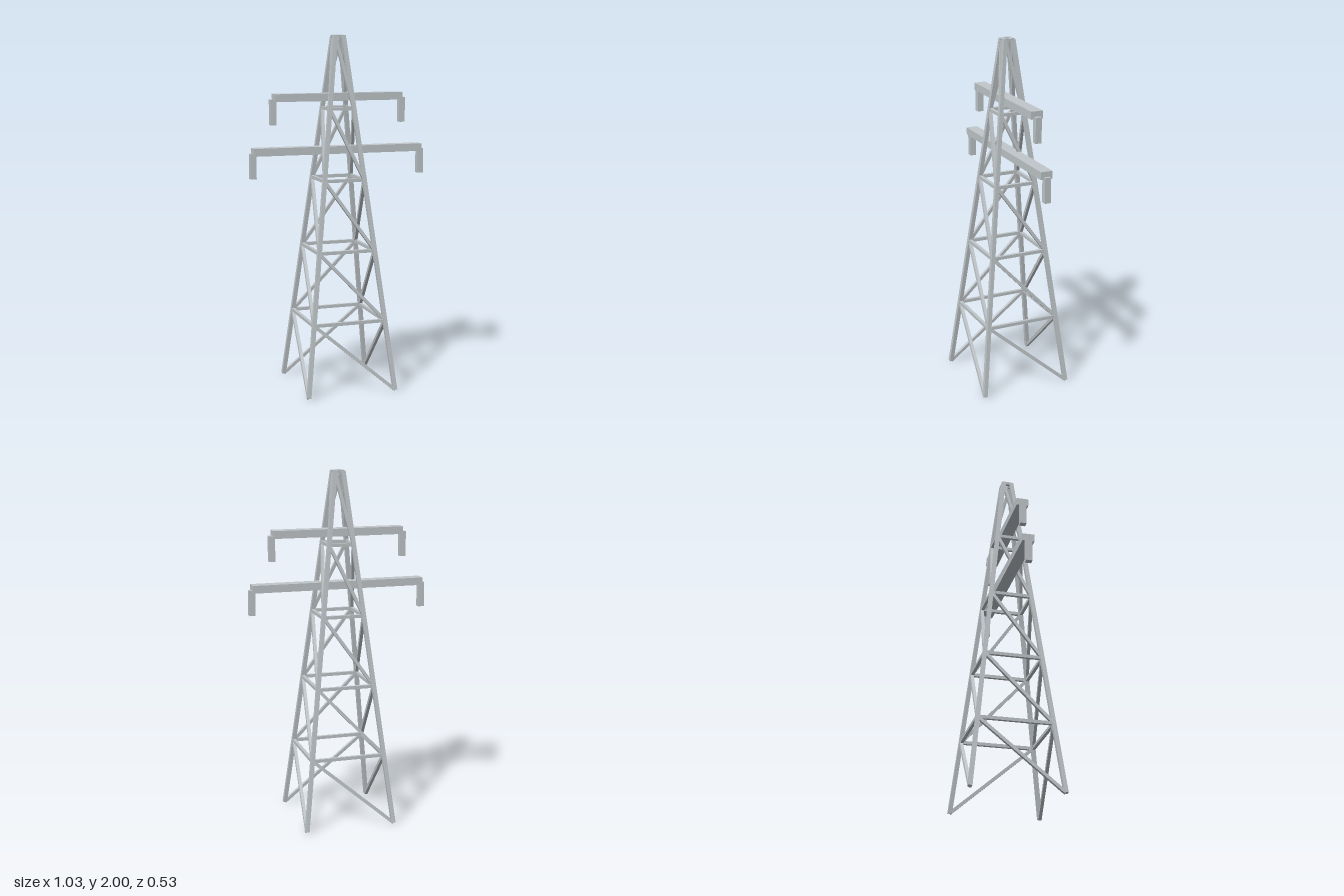
import * as THREE from 'three';

export function createModel() {
  const tower = new THREE.Group();
  tower.name = 'latticeTower';
  const steel = new THREE.MeshStandardMaterial({ color: 0xc0c6ca });
  steel.name = 'galvanisedSteel';

  const add = (parent, name, w, h, d, x, y, z) => {
    const mesh = new THREE.Mesh(new THREE.BoxGeometry(w, h, d), steel);
    mesh.name = name;
    mesh.position.set(x, y, z);
    parent.add(mesh);
    return mesh;
  };

  // Square bar running between two points
  const up = new THREE.Vector3(0, 1, 0);
  const beam = (parent, name, a, b, size) => {
    const dir = b.clone().sub(a);
    const mid = a.clone().add(b).multiplyScalar(0.5);
    const mesh = add(parent, name, size, dir.length(), size, mid.x, mid.y, mid.z);
    mesh.quaternion.setFromUnitVectors(up, dir.normalize());
  };

  // Corner joints of the tapering frame: level 0 (ground) to 5 (top)
  const PANELS = 5;
  const signs = [[1, 1], [1, -1], [-1, -1], [-1, 1]];
  const joint = (corner, level) => {
    const [sx, sz] = signs[corner % 4];
    const t = level / PANELS;
    const r = THREE.MathUtils.lerp(0.256, 0.024, t);
    return new THREE.Vector3(sx * r, 0.004 + 1.987 * t, sz * r);
  };

  // Four legs, each followed by the bracing of the face beside it
  for (let c = 0; c < 4; c++) {
    const side = new THREE.Group();
    side.name = 'towerSide';
    tower.add(side);
    beam(side, 'leg', joint(c, 0), joint(c, PANELS + 0.012), 0.023);
    for (let i = 0; i < PANELS; i++) {
      beam(side, 'horizontalBrace', joint(c, i + 1), joint(c + 1, i + 1), 0.018);
      // One diagonal per panel, turning the same way round the tower
      beam(side, 'diagonalBrace', joint(c + 1, i), joint(c, i + 1), 0.018);
    }
  }

  // Cross-arms with a hanging insulator at each end
  const arms = [
    { name: 'upperCrossArm', y: 1.657, half: 0.375, hang: 0.38 },
    { name: 'lowerCrossArm', y: 1.36, half: 0.496, hang: 0.496 },
  ];
  for (const { name, y, half, hang } of arms) {
    const arm = new THREE.Group();
    arm.name = name;
    tower.add(arm);
    add(arm, 'armBeam', half * 2, 0.043, 0.068, 0, y, 0);
    for (const s of [-1, 1]) {
      add(arm, 'insulator', 0.034, 0.141, 0.035, s * hang, y - 0.079, 0);
    }
  }

  return tower;
}
